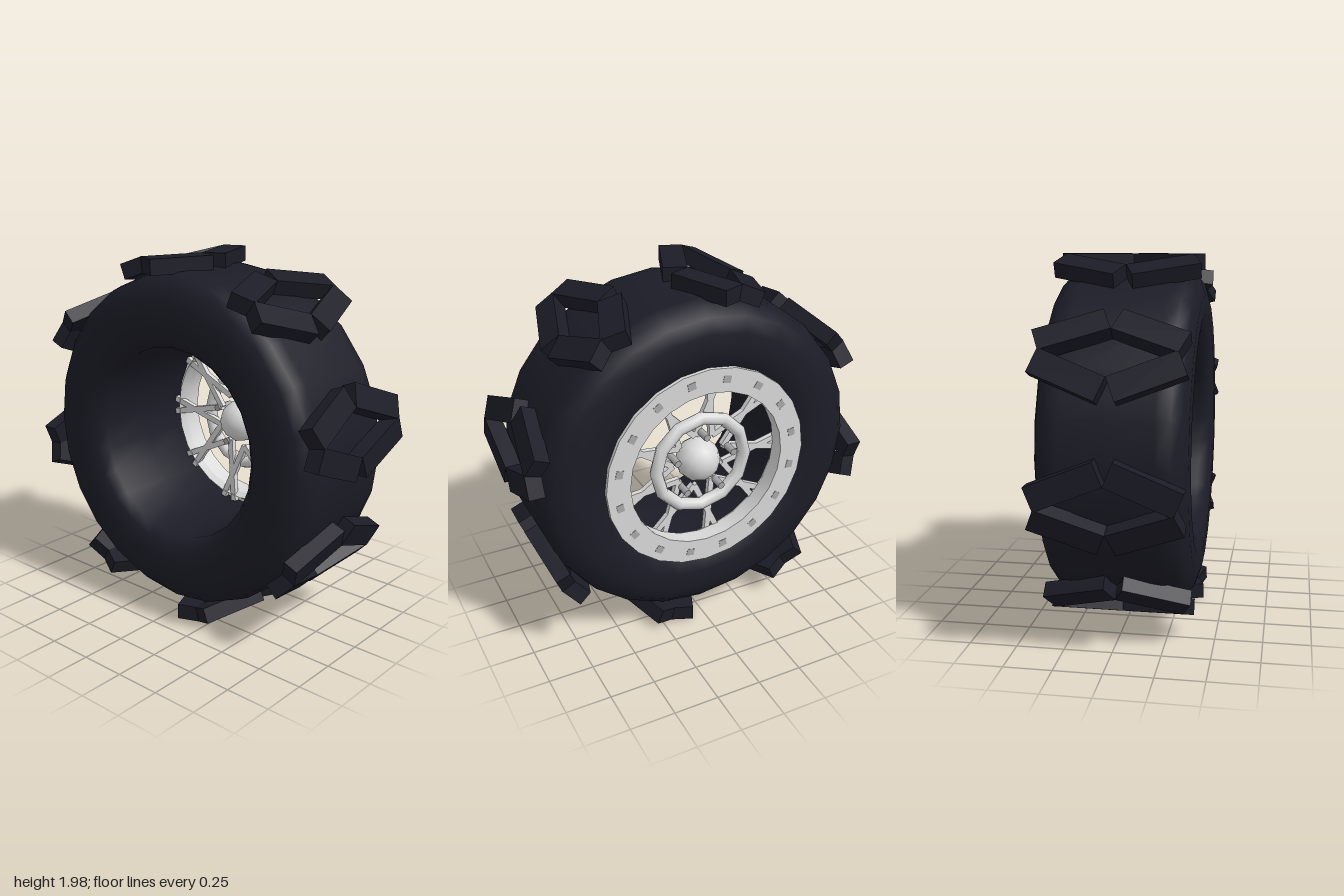
import * as THREE from 'three';
import { toCreasedNormals } from 'three/addons/utils/BufferGeometryUtils.js';

const rubber = new THREE.MeshStandardMaterial({ color: 0x1c1c27 });
rubber.name = 'rubber';
const silver = new THREE.MeshStandardMaterial({ color: 0xdadada });
silver.name = 'silver';
const steel = new THREE.MeshStandardMaterial({ color: 0xa8a8aa });
steel.name = 'steel';

function add(parent, name, geometry, material) {
  const mesh = new THREE.Mesh(geometry, material);
  mesh.name = name;
  parent.add(mesh);
  return mesh;
}

// Revolves a profile of [radius, z] points around the wheel axle (z)
function revolve(points, segments) {
  const profile = points.map(([r, z]) => new THREE.Vector2(r, z));
  return new THREE.LatheGeometry(profile, segments).rotateX(Math.PI / 2);
}

const rad = THREE.MathUtils.degToRad;
const polar = (r, a) => new THREE.Vector2(r * Math.cos(a), r * Math.sin(a));

export function createModel() {
  const model = new THREE.Group();
  model.name = 'wheel';
  const wheel = new THREE.Group();
  wheel.name = 'wheelAssembly';
  wheel.position.y = 1;
  model.add(wheel);

  // Tyre: half section mirrored to the other side, hollow in the middle
  const half = [
    [0.918, 0.235], [0.9, 0.305], [0.85, 0.355], [0.77, 0.381],
    [0.67, 0.383], [0.58, 0.362], [0.53, 0.31],
  ];
  const mirrored = half.map(([r, z]) => [r, -z]).reverse();
  add(wheel, 'tyre', revolve([[0.53, 0], ...mirrored, ...half, [0.53, 0]], 24), rubber);

  // Tread: eight diamonds, each made of two chevrons pointing apart
  const slant = rad(22), barWidth = 0.13, barLength = 0.363, barHeight = 0.085;
  const barGeometry = new THREE.BoxGeometry(barHeight, barWidth, barLength);
  const t = -0.067 - Math.sin(slant) * barLength / 2 + Math.cos(slant) * barWidth / 2;
  const z = Math.cos(slant) * barLength / 2 + Math.sin(slant) * barWidth / 2;
  for (let i = 0; i < 8; i++) {
    for (const way of [-1, 1]) {
      const chevron = new THREE.Group();
      chevron.name = 'treadChevron';
      chevron.rotation.z = rad(11.25 + 45 * i + 11.25 * way);
      for (const side of [-1, 1]) {
        const bar = add(chevron, 'treadBar', barGeometry, rubber);
        bar.position.set(0.99 - barHeight / 2, way * t, side * z);
        bar.rotation.x = slant * way * side;
      }
      wheel.add(chevron);
    }
  }

  // Rim: wide flat flange on the back, short barrel, tapered front ring
  const rim = revolve([
    [0.45, -0.385], [0.585, -0.385], [0.585, -0.36], [0.535, -0.35],
    [0.48, -0.25], [0.457, -0.285], [0.45, -0.385],
  ], 24);
  add(wheel, 'rim', toCreasedNormals(rim, 0.5), silver);

  // Square studs set into the flange
  const studGeometry = new THREE.BoxGeometry(0.04, 0.045, 0.006);
  for (let i = 0; i < 16; i++) {
    const a = rad(22.5 * i + 11.25);
    const stud = add(wheel, 'flangeStud', studGeometry, steel);
    stud.position.set(0.52 * Math.cos(a), 0.52 * Math.sin(a), -0.384);
    stud.rotation.z = a;
  }

  // Spokes: nine crossed pairs whose inner ends meet in a star
  for (let i = 0; i < 9; i++) {
    const a = rad(20 + 40 * i);
    for (const side of [-1, 1]) {
      const outer = polar(0.515, a + side * rad(4.5));
      const inner = polar(0.155, a - side * rad(20));
      const span = outer.clone().sub(inner);
      const spoke = add(wheel, 'spoke', new THREE.BoxGeometry(span.length(), 0.033, 0.03), silver);
      spoke.position.set((outer.x + inner.x) / 2, (outer.y + inner.y) / 2, -0.268);
      spoke.rotation.z = span.angle();
    }
  }

  // Hub ring and round cap
  const ring = add(wheel, 'hubRing', new THREE.TorusGeometry(0.266, 0.036, 8, 12), silver);
  ring.position.z = -0.3;
  const cap = add(wheel, 'hubCap', new THREE.SphereGeometry(0.123, 12, 8).rotateX(Math.PI / 2), silver);
  cap.position.z = -0.262;

  // Five lug bolts around the cap
  const boltGeometry = new THREE.CylinderGeometry(0.02, 0.02, 0.12, 8).rotateX(Math.PI / 2);
  for (let i = 0; i < 5; i++) {
    const a = rad(20 + 72 * i);
    const bolt = add(wheel, 'lugBolt', boltGeometry, steel);
    bolt.position.set(0.175 * Math.cos(a), 0.175 * Math.sin(a), -0.3);
  }

  return model;
}
